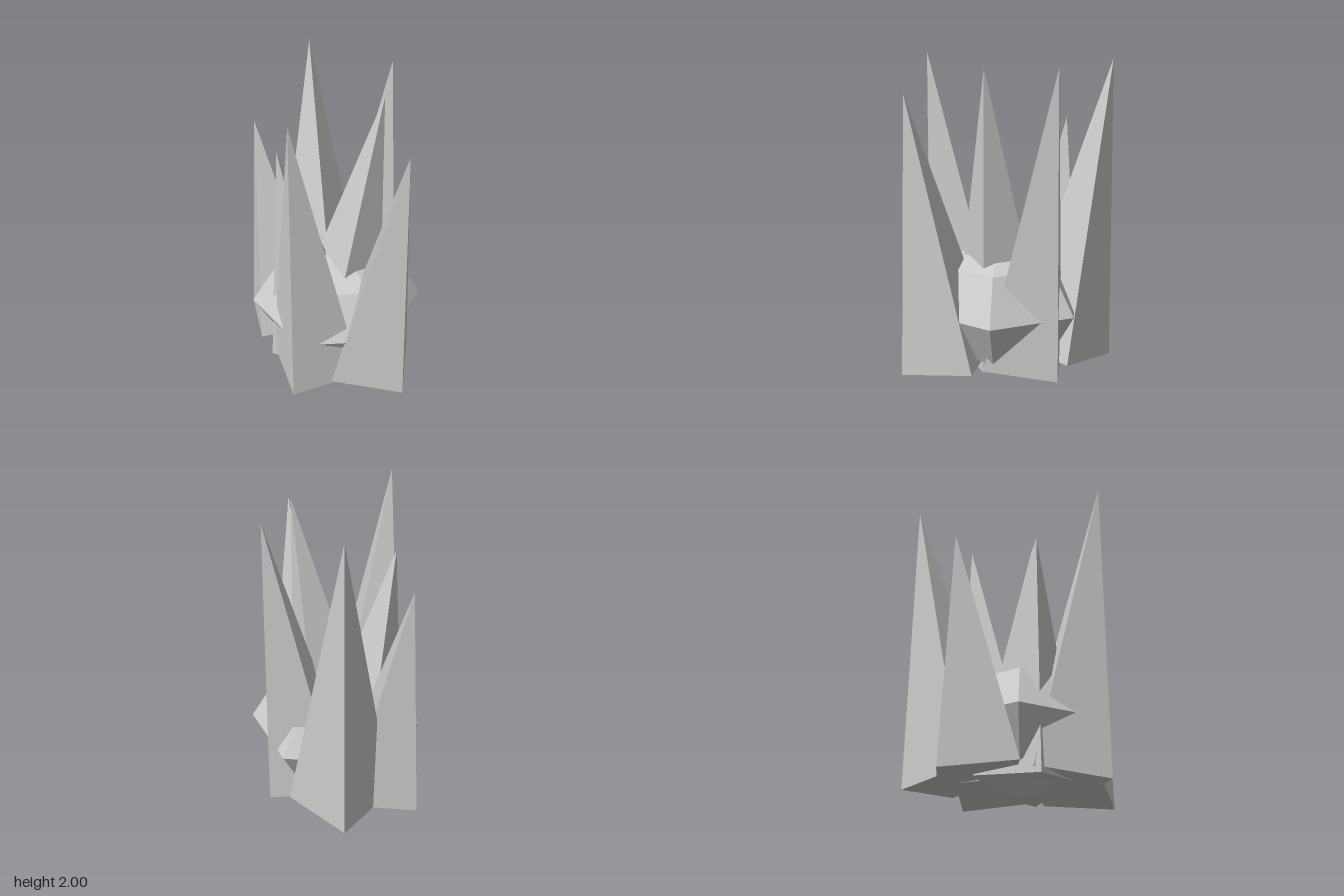
import * as THREE from 'three';

const TILT = 0.16;
const SPIKE_RADIUS = 0.333;
const CENTER = [0.045, -0.03];

// Each spike: outward direction (x, z), base distance from the core axis, tip height
const SPIKES = [
  [-0.02, 0.61, 0.30, 2.0],
  [-0.46, -0.55, 0.405, 1.98],
  [0.138, -0.523, 0.24, 1.95],
  [0.275, -0.08, -0.02, 1.94],
  [0.585, 0.29, 0.37, 1.79],
  [-0.285, 0.29, 0.145, 1.61],
  [-0.638, -0.095, 0.405, 1.56],
];

export function createModel() {
  const model = new THREE.Group();
  model.name = 'crystalCluster';
  const stone = new THREE.MeshStandardMaterial({ color: 0xcccccc });
  stone.name = 'grey stone';
  stone.flatShading = true;

  // Squashed six-sided core
  const coreGeometry = new THREE.SphereGeometry(0.57, 6, 4);
  coreGeometry.rotateY(Math.PI / 6);
  coreGeometry.scale(1, 0.4 / 0.57, 1);
  const core = new THREE.Mesh(coreGeometry, stone);
  core.name = 'core';
  core.position.set(CENTER[0], 0.4, CENTER[1]);
  model.add(core);

  // Four-sided spikes leaning outward, one edge facing out
  SPIKES.forEach(([dx, dz, distance, tipY], i) => {
    const baseY = i === 0 ? 0.062 : 0.068;
    const height = (tipY - baseY) / Math.cos(TILT);
    const geometry = new THREE.ConeGeometry(SPIKE_RADIUS, height, 4);
    geometry.translate(0, height / 2, 0);
    const spike = new THREE.Mesh(geometry, stone);
    spike.name = `spike${i + 1}`;
    spike.rotation.x = TILT;
    spike.position.set(0, baseY, distance);

    const pivot = new THREE.Group();
    pivot.name = `spikePivot${i + 1}`;
    pivot.position.set(CENTER[0], 0, CENTER[1]);
    pivot.rotation.y = Math.atan2(dx, dz);
    pivot.add(spike);
    model.add(pivot);
  });

  return model;
}
